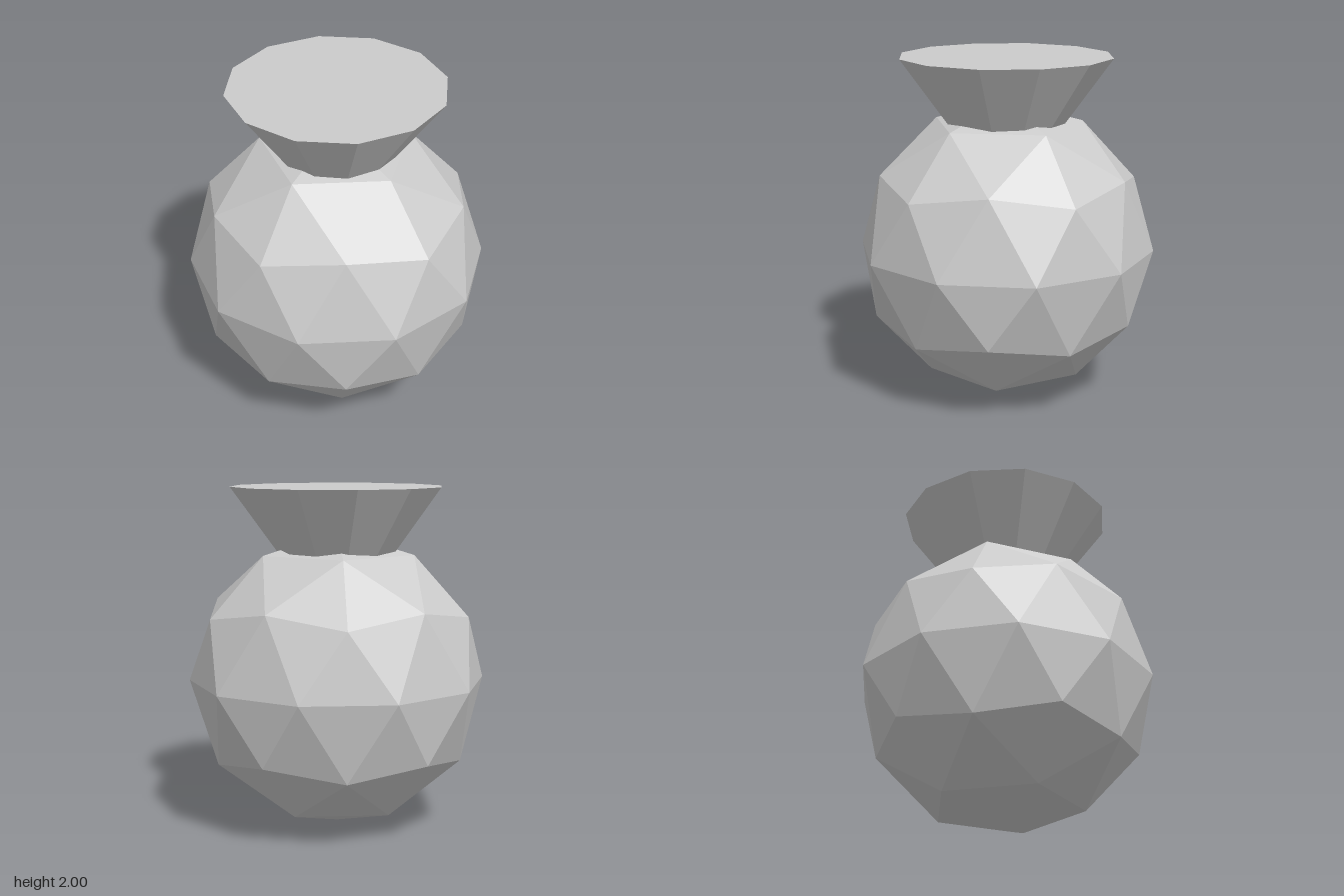
import * as THREE from 'three';

const material = new THREE.MeshStandardMaterial({ color: 0xcccccc, flatShading: true });

function addPart(group, name, geometry, y) {
  // split faces so every facet has its own flat normal
  const flat = geometry.index ? geometry.toNonIndexed() : geometry;
  flat.computeVertexNormals();
  const mesh = new THREE.Mesh(flat, material);
  mesh.name = name;
  mesh.position.y = y;
  group.add(mesh);
}

export function createModel() {
  const group = new THREE.Group();
  group.name = 'flask';

  // faceted round body, turned so that it stands on one corner
  const radius = 0.87;
  const golden = (1 + Math.sqrt(5)) / 2;
  const body = new THREE.IcosahedronGeometry(radius, 1);
  body.rotateZ(-Math.atan(1 / golden));
  addPart(group, 'body', body, radius);

  // twelve-sided flared neck, closed on top and sunk into the body
  const top = 2, bottom = 1.5;
  const neck = new THREE.CylinderGeometry(0.624, 0.262, top - bottom, 12);
  addPart(group, 'neck', neck, (top + bottom) / 2);

  return group;
}
